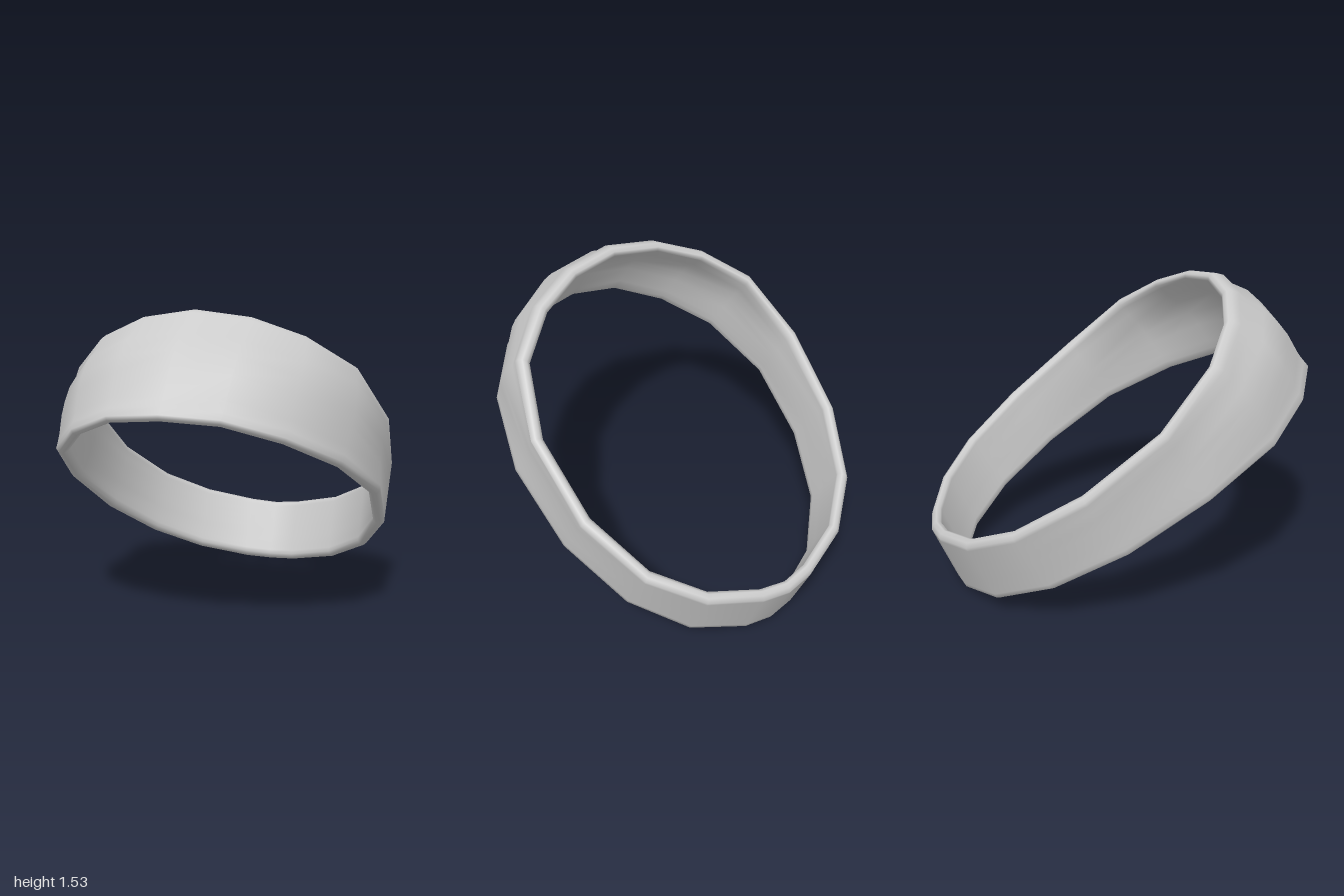
import * as THREE from 'three';

// Half-outline of the band from front centre, over the left side, to back centre:
// lower rim [x, y, z], upper rim [x, y, z], outward swell of the wall
const STATIONS = [
  [[0, 1.09, 1.0], [0, 1.53, 0.53], 0.054],
  [[0.265, 1.07, 0.95], [0.265, 1.495, 0.5], 0.052],
  [[0.51, 0.985, 0.8], [0.505, 1.405, 0.41], 0.045],
  [[0.715, 0.855, 0.56], [0.715, 1.255, 0.25], 0.028],
  [[0.825, 0.665, 0.19], [0.827, 0.99, -0.03], -0.018],
  [[0.792, 0.425, -0.2], [0.797, 0.71, -0.4], 0],
  [[0.645, 0.222, -0.53], [0.645, 0.5, -0.7], 0],
  [[0.42, 0.086, -0.75], [0.42, 0.375, -0.885], 0],
  [[0.15, 0.02, -0.86], [0.15, 0.31, -0.98], 0],
  [[0, 0.01, -0.88], [0, 0.295, -1.0], 0],
];
// Wall profile: height fraction, share of the swell
const WALL = [[0, 0], [0.07, 0.05], [0.16, 0.2], [0.36, 0.8], [0.52, 1], [0.69, 0.93], [0.83, 0.36], [0.94, 0.36], [1, 0]];
const THICKNESS = 0.058;
const LIP = 0.016;

// Full closed loop of stations, mirrored across x
function ringStations() {
  const half = STATIONS.map(([lo, up, swell]) => ({
    lo: new THREE.Vector3(...lo), up: new THREE.Vector3(...up), swell,
  }));
  const flip = (v) => new THREE.Vector3(-v.x, v.y, v.z);
  const mirrored = half.slice(1, -1).reverse().map((s) => ({ lo: flip(s.lo), up: flip(s.up), swell: s.swell }));
  return [...half, ...mirrored];
}

// Closed cross-section: outer wall upwards, upper lip, inner wall downwards, lower lip
function crossSection({ lo, up, swell }, loCentre, upCentre) {
  const loIn = loCentre.clone().sub(lo).normalize();
  const upIn = upCentre.clone().sub(up).normalize();
  const along = up.clone().sub(lo).normalize();
  const outward = loIn.clone().add(upIn).negate();
  outward.addScaledVector(along, -outward.dot(along)).normalize();
  const wallPoint = ([t, share], inset) => {
    const inward = loIn.clone().lerp(upIn, t);
    return lo.clone().lerp(up, t)
      .addScaledVector(outward, share * swell)
      .addScaledVector(inward, inset);
  };
  const lip = (p, inward, dir, k) => p.clone()
    .addScaledVector(inward, THICKNESS * k).addScaledVector(along, LIP * dir);
  const outer = WALL.map((w) => wallPoint(w, 0));
  const inner = WALL.map((w) => wallPoint(w, THICKNESS)).reverse();
  return [
    ...outer, lip(up, upIn, 1, 0.3), lip(up, upIn, 1, 0.7),
    ...inner, lip(lo, loIn, -1, 0.7), lip(lo, loIn, -1, 0.3),
  ];
}

function bandGeometry() {
  const stations = ringStations();
  const centreOf = (key) => stations
    .reduce((sum, s) => sum.add(s[key]), new THREE.Vector3()).divideScalar(stations.length);
  const loCentre = centreOf('lo');
  const upCentre = centreOf('up');
  const sections = stations.map((s) => crossSection(s, loCentre, upCentre));
  const n = sections.length;
  const m = sections[0].length;
  const index = [];
  for (let i = 0; i < n; i++) {
    for (let j = 0; j < m; j++) {
      const a = i * m + j;
      const b = ((i + 1) % n) * m + j;
      const c = ((i + 1) % n) * m + ((j + 1) % m);
      const d = i * m + ((j + 1) % m);
      index.push(a, b, c, a, c, d);
    }
  }
  const geometry = new THREE.BufferGeometry().setFromPoints(sections.flat());
  geometry.setIndex(index);
  geometry.computeVertexNormals();
  return geometry;
}

export function createModel() {
  const group = new THREE.Group();
  group.name = 'headband';
  const band = new THREE.Mesh(bandGeometry(), new THREE.MeshStandardMaterial({ color: 0xcccccc }));
  band.name = 'band';
  group.add(band);

  // Stand on the ground, centred
  const box = new THREE.Box3().setFromObject(band);
  const centre = box.getCenter(new THREE.Vector3());
  band.position.set(-centre.x, -box.min.y, -centre.z);
  return group;
}
